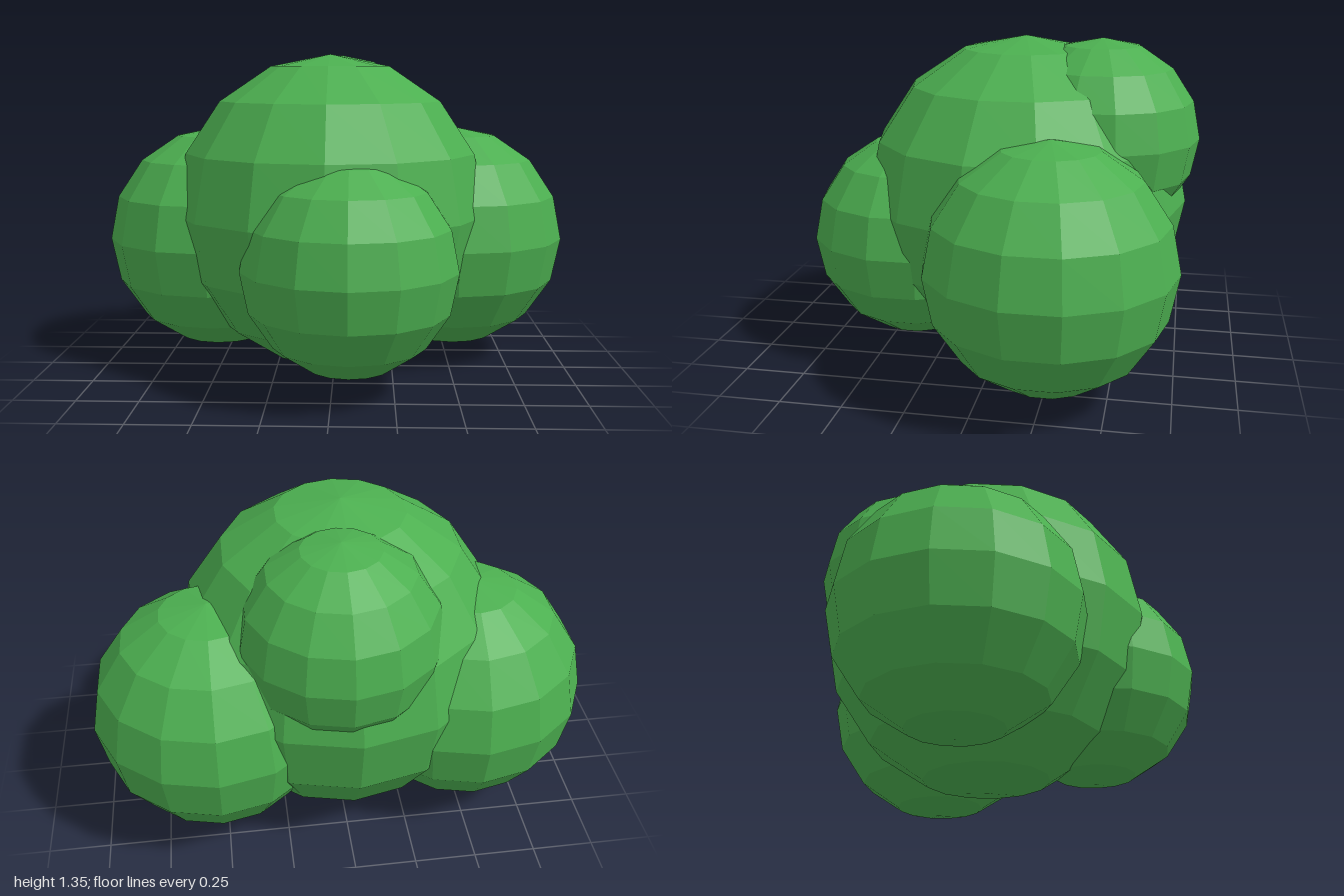
import * as THREE from 'three';

// A low-poly bush made of overlapping faceted balls of leaves
export function createModel() {
  const bush = new THREE.Group();
  bush.name = 'bush';

  const leafGreen = new THREE.MeshStandardMaterial({ color: 0x4caf50, flatShading: true });
  leafGreen.name = 'leafGreen';

  // name, radius, centre
  const clumps = [
    ['mainClump', 0.675, [-0.02, 0.675, -0.09]],
    ['leftClump', 0.492, [0.52, 0.54, -0.27]],
    ['rightClump', 0.492, [-0.52, 0.54, -0.23]],
    ['frontClump', 0.436, [0.07, 0.51, 0.367]],
    ['backClump', 0.4, [0.02, 0.95, -0.41]],
  ];

  for (const [name, radius, centre] of clumps) {
    // quarter turn puts a column of corners on the front and back
    const geometry = new THREE.SphereGeometry(radius, 14, 8).rotateY(Math.PI / 2);
    const clump = new THREE.Mesh(geometry, leafGreen);
    clump.name = name;
    clump.position.set(...centre);
    bush.add(clump);
  }
  return bush;
}
